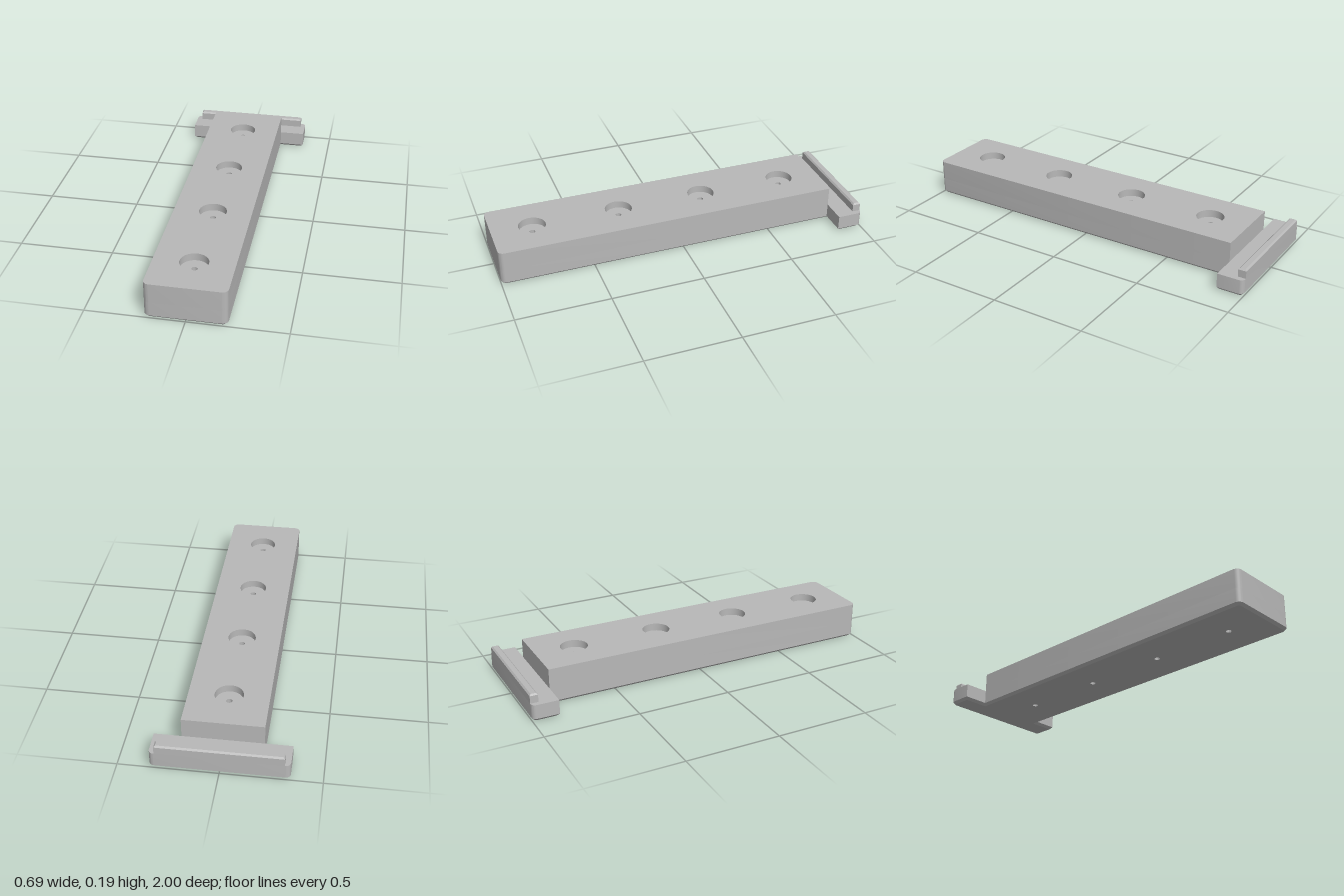
import * as THREE from 'three';
import { mergeGeometries, toCreasedNormals } from 'three/addons/utils/BufferGeometryUtils.js';

const BODY_W = 0.205, BAR_W = 0.343, BAR_FRONT = -0.86;
const TOP = 0.195, BAR_TOP = 0.09, LIP_TOP = 0.138, CHAMFER = 0.014;
const FRONT_R = 0.03, BACK_R = 0.025;
const HOLE_Z = [-0.645, -0.17, 0.305, 0.78];
const BORE_R = 0.073, PIN_R = 0.015, BORE_FLOOR = 0.155;

// Rings are lists of [x, z], running from +x towards +z
function arc(cx, cz, r, start, sweep = Math.PI / 2, n = 8) {
  return Array.from({ length: n + 1 }, (_, i) => {
    const a = start + (sweep * i) / n;
    return [cx + r * Math.cos(a), cz + r * Math.sin(a)];
  });
}
const circle = (z, r) => arc(0, z, r, 0, Math.PI * 2, 40).slice(0, -1);
const rect = (w, z0, z1) => [[w, z0], [w, z1], [-w, z1], [-w, z0]];

const frontCorners = (d) => [
  ...arc(BODY_W - FRONT_R, 1 - FRONT_R, FRONT_R - d, 0),
  ...arc(-BODY_W + FRONT_R, 1 - FRONT_R, FRONT_R - d, Math.PI / 2),
];
const backCorners = (d) => [
  ...arc(-BAR_W + BACK_R, -1 + BACK_R, BACK_R - d, Math.PI),
  ...arc(BAR_W - BACK_R, -1 + BACK_R, BACK_R - d, Math.PI * 1.5),
];
const tOutline = (d) => {
  const z = BAR_FRONT - d;
  return [
    ...frontCorners(d), [-BODY_W + d, z], [-BAR_W + d, z],
    ...backCorners(d), [BAR_W - d, z], [BODY_W - d, z],
  ];
};

// Walls between two matching rings; inward makes them face into a hole
function walls(lo, y0, hi, y1, inward = false) {
  const pos = [];
  lo.forEach((_, i) => {
    const j = (i + 1) % lo.length;
    const a = [lo[i][0], y0, lo[i][1]], b = [lo[j][0], y0, lo[j][1]];
    const c = [hi[j][0], y1, hi[j][1]], e = [hi[i][0], y1, hi[i][1]];
    const tris = inward ? [a, b, c, a, c, e] : [a, c, b, a, e, c];
    pos.push(...tris.flat());
  });
  const g = new THREE.BufferGeometry();
  g.setAttribute('position', new THREE.Float32BufferAttribute(pos, 3));
  return g;
}

// Flat face at height y, facing up or down, with optional holes
function cap(ring, y, up = true, holes = []) {
  const s = up ? -1 : 1;
  const points = (r) => r.map(([x, z]) => new THREE.Vector2(x, s * z));
  const shape = new THREE.Shape(points(ring));
  shape.holes = holes.map((h) => new THREE.Path(points(h)));
  const g = new THREE.ShapeGeometry(shape).toNonIndexed();
  g.deleteAttribute('uv');
  g.deleteAttribute('normal');
  return g.rotateX((s * Math.PI) / 2).translate(0, y, 0);
}

export function createModel() {
  const model = new THREE.Group();
  model.name = 'mountingRail';
  const grey = new THREE.MeshStandardMaterial({ color: 0xb8b8b8 });
  const add = (name, parts) => {
    const mesh = new THREE.Mesh(toCreasedNormals(mergeGeometries(parts), 0.5), grey);
    mesh.name = name;
    model.add(mesh);
  };

  // T-shaped base with a chamfered underside
  const outer = tOutline(0), inner = tOutline(CHAMFER);
  add('base', [
    cap(inner, 0, false, HOLE_Z.map((z) => circle(z, PIN_R))),
    walls(inner, 0, outer, CHAMFER),
    walls(outer, CHAMFER, outer, BAR_TOP),
  ]);

  // Raised long body
  const body = [...frontCorners(0), [-BODY_W, BAR_FRONT], [BODY_W, BAR_FRONT]];
  add('body', [
    walls(body, BAR_TOP, body, TOP),
    cap(body, TOP, true, HOLE_Z.map((z) => circle(z, BORE_R))),
  ]);

  // Counterbored screw holes
  HOLE_Z.forEach((z, i) => {
    const bore = circle(z, BORE_R), pin = circle(z, PIN_R);
    add(`screwHole${i + 1}`, [
      walls(bore, BORE_FLOOR, bore, TOP, true),
      cap(bore, BORE_FLOOR, true, [pin]),
      walls(pin, 0, pin, BORE_FLOOR, true),
    ]);
  });

  // Top of the crossbar
  add('crossbarTop', [
    cap([[-BAR_W, BAR_FRONT], ...backCorners(0), [BAR_W, BAR_FRONT]], BAR_TOP),
  ]);

  // Lip along the back edge, chamfered on top
  const c = 0.008;
  const lip = rect(0.315, -1, -0.957), lipTop = rect(0.315 - c, -1 + c, -0.957 - c);
  add('lip', [
    walls(lip, BAR_TOP, lip, LIP_TOP - c),
    walls(lip, LIP_TOP - c, lipTop, LIP_TOP),
    cap(lipTop, LIP_TOP),
  ]);

  return model;
}
